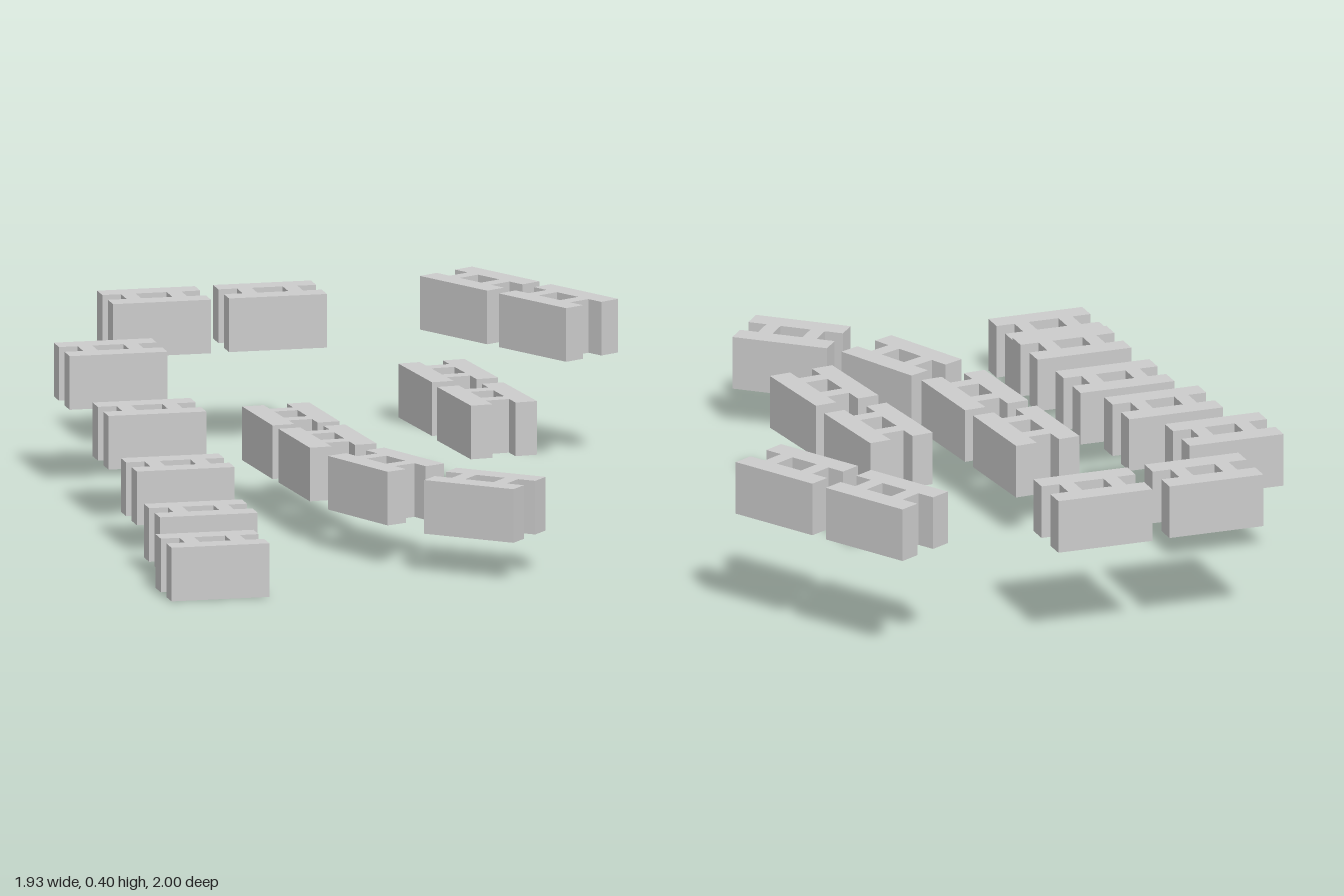
import * as THREE from 'three';

const LENGTH = 0.246, WIDTH = 0.172, HEIGHT = 0.134;
const WALL = 0.056;                    // thickness of the two long walls
const NOTCH = 0.047;                   // depth of the end notches
const HOLE_L = 0.078;                  // length of the middle hole

// H-ended block outline with a square through hole, standing on y = 0
function blockGeometry() {
  const l = LENGTH / 2, w = WIDTH / 2, n = l - NOTCH, g = w - WALL, h = HOLE_L / 2;
  const outline = [
    [-l, -w], [l, -w], [l, -g], [n, -g], [n, g], [l, g],
    [l, w], [-l, w], [-l, g], [-n, g], [-n, -g], [-l, -g],
  ];
  const hole = [[-h, -g], [-h, g], [h, g], [h, -g]];
  const toPoints = (list) => list.map(([x, y]) => new THREE.Vector2(x, y));
  const shape = new THREE.Shape(toPoints(outline));
  shape.holes.push(new THREE.Path(toPoints(hole)));
  const geometry = new THREE.ExtrudeGeometry(shape, { depth: HEIGHT, bevelEnabled: false });
  return geometry.rotateX(-Math.PI / 2);
}

// Groups of blocks: [x, base height, z, turn in degrees]
const ROWS = {
  steppingBlock: [
    [-0.815, 0, 0.65, -23.5],
    [-0.702, 0.03, 0.45, -23.5],
    [-0.528, 0.07, 0.121, -23.5],
    [-0.357, 0.132, -0.225, -23.5],
    [-0.193, 0.2, -0.605, -23.5],
  ],
  backBlock: [
    [0.14, 0.246, -0.875, -23.5],
    [0.41, 0.246, -0.762, -23.5],
  ],
  highBlock: [
    [0.84, 0.267, -0.48, -84.5],
    [0.866, 0.267, -0.191, -84.5],
  ],
  innerBlock: [
    [0.348, 0.183, 0.053, -107],
    [0.252, 0.183, 0.342, -107],
  ],
  curvedRowBlock: [
    [-0.05, 0.105, -0.058, -109],
    [-0.142, 0.105, 0.217, -108.5],
    [-0.195, 0.103, 0.528, -90],
    [-0.13, 0.1, 0.847, -64],
  ],
};

export function createModel() {
  const model = new THREE.Group();
  model.name = 'blockCourse';
  const geometry = blockGeometry();
  const material = new THREE.MeshStandardMaterial({ color: 0xcccccc, flatShading: true });
  for (const [name, blocks] of Object.entries(ROWS)) {
    blocks.forEach(([x, y, z, turn], i) => {
      const block = new THREE.Mesh(geometry, material);
      block.name = `${name}${i + 1}`;
      block.position.set(x, y, z);
      block.rotation.y = THREE.MathUtils.degToRad(turn);
      model.add(block);
    });
  }
  return model;
}
